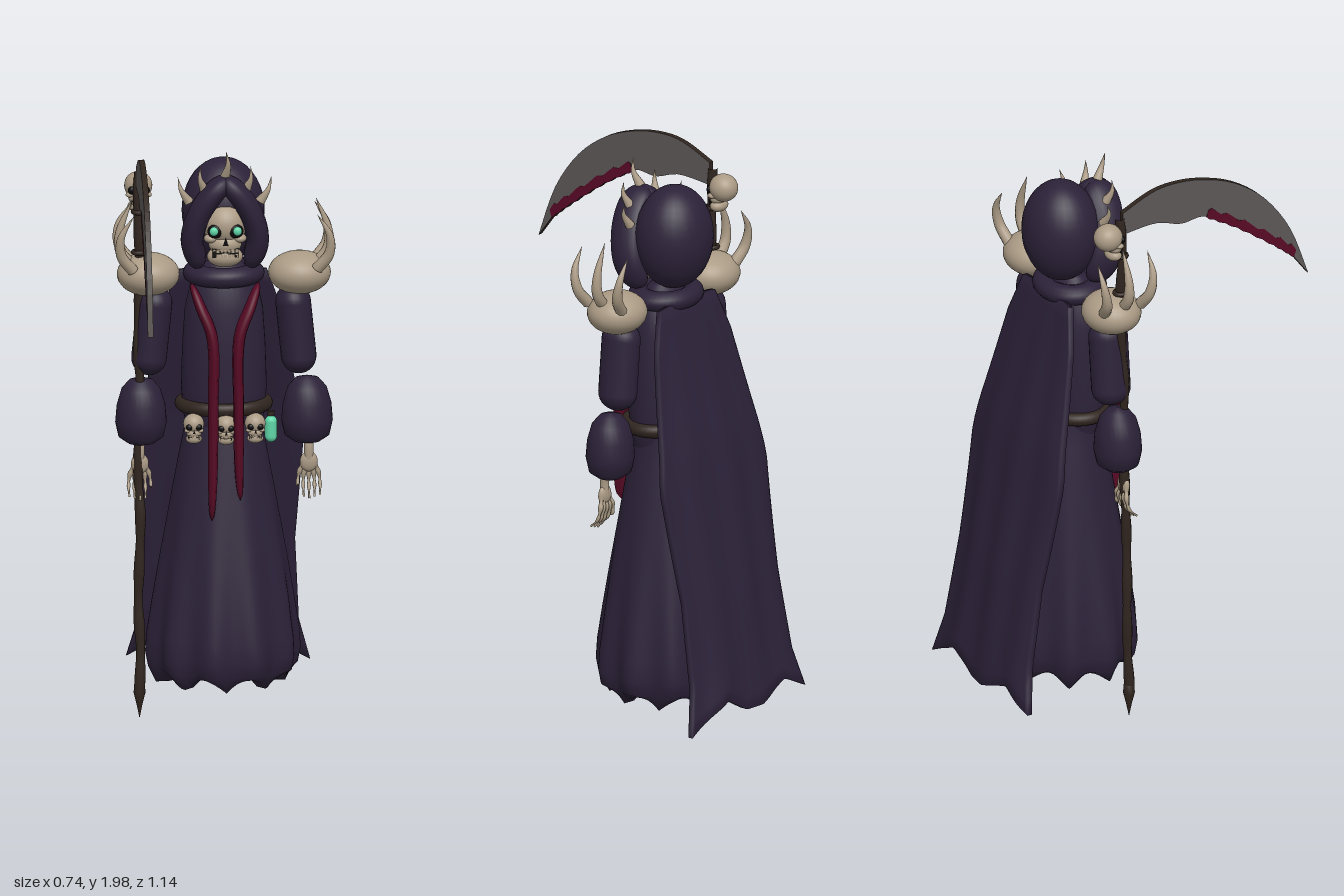
import * as THREE from 'three';
import { mergeVertices } from 'three/addons/utils/BufferGeometryUtils.js';

const mat = (name, color, side = THREE.FrontSide) => {
  const m = new THREE.MeshStandardMaterial({ color, side });
  m.name = name;
  return m;
};
const cloth = mat('purple cloth', 0x2c2239, THREE.DoubleSide);
const bone = mat('bone', 0xab9b85);
const wood = mat('dark wood', 0x30251f);
const steel = mat('blade steel', 0x5e5858);
const red = mat('crimson', 0x5a0a26);
const dark = mat('socket black', 0x0d0a0c);
const glow = mat('green glow', 0x5fd6a8);

const V = (p) => new THREE.Vector3(...p);
const add = (parent, name, geo, material, p = [0, 0, 0], s = [1, 1, 1]) => {
  const m = new THREE.Mesh(geo, material);
  m.name = name;
  m.position.set(...p);
  m.scale.set(...s);
  parent.add(m);
  return m;
};
const ball = (parent, name, material, p, s) =>
  add(parent, name, new THREE.SphereGeometry(1, 28, 20), material, p, s);

// weld seams and recompute smooth normals
const smooth = (g) => {
  g.deleteAttribute('uv');
  g.deleteAttribute('normal');
  const w = mergeVertices(g, 1e-5);
  w.computeVertexNormals();
  return w;
};
const moveVertices = (g, rule) => {
  const pos = g.attributes.position, v = new THREE.Vector3();
  for (let i = 0; i < pos.count; i++) {
    v.fromBufferAttribute(pos, i);
    rule(v, i);
    pos.setXYZ(i, v.x, v.y, v.z);
  }
  return smooth(g);
};
// tube along points whose radius follows rule(t), stretched per axis
const taper = (pts, rule, axes = [1, 1, 1], seg = 20, sides = 10) => {
  const curve = new THREE.CatmullRomCurve3(pts.map(V));
  const ax = V(axes);
  return moveVertices(new THREE.TubeGeometry(curve, seg, 1, sides), (v, i) => {
    const t = Math.floor(i / (sides + 1)) / seg;
    const c = curve.getPointAt(t);
    v.sub(c).multiply(ax).multiplyScalar(rule(t)).add(c);
  });
};
const spike = (r) => (t) => r * Math.max(0.01, 1 - t);
const round = (r) => (t) => r * Math.max(0.01, Math.pow(1 - Math.pow(Math.abs(2 * t - 1), 6), 0.5));
// piecewise linear value from [t, value] keys
const keyed = (keys, t) => {
  let i = 1;
  while (i < keys.length - 1 && t > keys[i][0]) i++;
  const [a, b] = [keys[i - 1], keys[i]];
  return THREE.MathUtils.mapLinear(t, a[0], b[0], a[1], b[1]);
};
const lathe = (pts, n = 40) => smooth(new THREE.LatheGeometry(pts.map((p) => new THREE.Vector2(...p)), n));

function skull(name, p, size, eyes) {
  const g = new THREE.Group();
  g.name = name;
  ball(g, 'cranium', bone, [0, 0.1, -0.05], [0.95, 0.95, 1]);
  ball(g, 'upperJaw', bone, [0, -0.68, 0.38], [0.68, 0.45, 0.52]);
  ball(g, 'lowerJaw', bone, [0, -1.22, 0.34], [0.74, 0.44, 0.54]);
  add(g, 'mouth', new THREE.BoxGeometry(1.06, 0.36, 0.3), dark, [0, -0.99, 0.64]);
  for (let i = -3; i <= 3; i++)
    for (const y of [-0.89, -1.09])
      add(g, 'tooth', new THREE.BoxGeometry(0.12, 0.14, 0.12), bone, [i * 0.155, y, 0.82 - i * i * 0.01]);
  for (const s of [-1, 1]) {
    ball(g, 'cheekbone', bone, [s * 0.6, -0.42, 0.48], [0.28, 0.19, 0.32]);
    ball(g, 'eyeSocket', dark, [s * 0.42, -0.06, 0.76], [0.32, 0.29, 0.22]);
    if (eyes) ball(g, 'glowingEye', glow, [s * 0.48, -0.03, 0.92], [0.18, 0.18, 0.12]);
  }
  const nose = add(g, 'noseHole', new THREE.ConeGeometry(0.13, 0.34, 3), dark, [0, -0.47, 0.88], [1, 1, 0.6]);
  nose.rotation.y = Math.PI;
  g.position.set(...p);
  g.scale.setScalar(size);
  return g;
}

function arm(s) {
  const g = new THREE.Group();
  g.name = s > 0 ? 'leftArm' : 'rightArm';
  const upper = add(g, 'upperSleeve', new THREE.CapsuleGeometry(0.06, 0.19, 8, 24), cloth, [s * 0.243, 1.345, -0.18], [1, 1, 1.15]);
  upper.rotation.z = s * 0.1;
  const bell = [[0.001, 0.955], [0.045, 0.958], [0.076, 0.98], [0.087, 1.03], [0.082, 1.09], [0.066, 1.145], [0.04, 1.175], [0.001, 1.185]];
  add(g, 'lowerSleeve', lathe(bell, 28), cloth, [s * 0.28, 0, -0.17], [1, 1, 0.93]);
  // shoulder guard with three curved horns
  ball(g, 'shoulderGuard', bone, [s * 0.255, 1.54, -0.18], [0.106, 0.073, 0.1]);
  for (const [k, top] of [[-1, 1.765], [0, 1.8], [1, 1.765]]) {
    const z = -0.17 + k * 0.07;
    add(g, 'shoulderHorn', taper([[s * 0.31, 1.57, z], [s * 0.35, 1.625, z + k * 0.014],
      [s * 0.352, 1.69, z + k * 0.026], [s * 0.31, top, z + k * 0.028]],
      (t) => 0.02 * Math.max(0.01, 1 - t ** 2)), bone);
  }
  // bony hand
  const x = s * 0.285, z = -0.15;
  add(g, 'wrist', taper([[x, 0.98, z - 0.01], [x, 0.94, z], [x, 0.9, z]], () => 0.016), bone);
  ball(g, 'palm', bone, [x, 0.89, z], [0.03, 0.035, 0.015]);
  for (let i = -2; i <= 2; i++) {
    const end = i * s === -2 ? 0.83 : 0.78 + Math.abs(i) * 0.006;
    add(g, 'finger', taper([[x + i * 0.009, 0.89, z], [x + i * 0.017, 0.845, z - 0.008],
      [x + i * 0.019, 0.81, z], [x + i * 0.018, end - 0.012, z + 0.03]],
      (t) => 0.0095 * (1 - 0.7 * t) * (1 + 0.25 * Math.cos(t * 19))), bone);
  }
  return g;
}

function scythe() {
  const g = new THREE.Group();
  g.name = 'scythe';
  const x = -0.287;
  const pole = [];
  for (let i = 0; i <= 12; i++) pole.push([x + 0.004 * Math.sin(i * 2.1), 0.1 + i * 0.15, -0.13 - 0.003 * i + 0.004 * Math.cos(i * 1.7)]);
  add(g, 'pole', taper(pole, (t) => 0.0165 + 0.002 * Math.sin(t * 60), [1, 1, 1], 80), wood);
  add(g, 'poleTip', lathe([[0.001, 0.015], [0.01, 0.06], [0.02, 0.1], [0.018, 0.13], [0.001, 0.14]], 12), wood, [x, 0, -0.13]);
  for (const y of [1.62, 1.76]) {
    const ring = add(g, 'poleRing', new THREE.TorusGeometry(0.02, 0.008, 8, 20), wood, [x, y, -0.163]);
    ring.rotation.x = Math.PI / 2;
  }
  g.add(skull('poleSkull', [x, 1.835, -0.21], 0.05, false));
  // blade outline in z and y, with dark rims
  const outer = [[-0.16, 1.92], [-0.05, 1.968], [0.04, 1.98], [0.15, 1.967], [0.28, 1.92], [0.4, 1.83], [0.5, 1.69], [0.57, 1.505]];
  const inner = [[0.51, 1.585], [0.43, 1.65], [0.285, 1.755], [0.165, 1.825], [0.07, 1.822], [-0.03, 1.85], [-0.16, 1.84]];
  const plate = (name, pts, depth, material) => {
    const geo = new THREE.ExtrudeGeometry(new THREE.Shape(pts.map((p) => new THREE.Vector2(...p))), { depth, bevelEnabled: false });
    geo.translate(0, 0, -depth / 2).rotateY(-Math.PI / 2);
    add(g, name, geo, [material, wood], [x, 0, 0]);
  };
  const curved = (pts, n) => new THREE.SplineCurve(pts.map((p) => new THREE.Vector2(...p))).getPoints(n).map((p) => [p.x, p.y]);
  plate('blade', [...curved(outer, 28), ...curved(inner, 28)], 0.019, steel);
  const edge = curved(inner.slice(0, 4), 18);
  plate('bloodiedEdge', [...edge.map(([a, b], i) => [a + 0.004, b - 0.004 - 0.005 * (i % 2)]),
    ...edge.map(([a, b], i) => [a + 0.012, b + 0.02 + 0.006 * (i % 3)]).reverse()], 0.022, red);
  return g;
}

export function createModel() {
  const model = new THREE.Group();
  model.name = 'hoodedReaper';

  // puffed skirt, pleated, with ragged pointed hem
  const profile = [[0.001, 0.175], [0.1, 0.17], [0.17, 0.15], [0.215, 0.15], [0.236, 0.18], [0.245, 0.23], [0.242, 0.3], [0.227, 0.42],
    [0.208, 0.55], [0.183, 0.7], [0.157, 0.85], [0.133, 0.98], [0.12, 1.04], [0.115, 1.1]];
  const skirt = moveVertices(new THREE.LatheGeometry(profile.map((p) => new THREE.Vector2(...p)), 120), (v) => {
    const a = Math.atan2(v.x, v.z) + 0.21, low = THREE.MathUtils.clamp((1 - v.y) / 0.75, 0, 1);
    const f = 1 + 0.05 * low * low * Math.cos(10 * a) + 0.012 * low * Math.sin(3 * a);
    if (v.y < 0.16) v.y -= 0.022 * (1 - 2 * Math.abs(Math.sin(4.5 * (a - 0.21)))) + 0.004;
    v.x *= f * 1.03;
    v.z *= f * 0.96;
  });
  add(model, 'skirt', skirt, cloth, [0, 0, -0.205]);

  const torso = [[0.12, 1.0], [0.138, 1.06], [0.145, 1.15], [0.14, 1.3], [0.132, 1.42], [0.11, 1.52], [0.06, 1.58], [0.001, 1.59]];
  add(model, 'torso', lathe(torso), cloth, [0, 0, -0.185], [1, 1, 0.75]);
  const collar = add(model, 'collar', new THREE.TorusGeometry(0.09, 0.038, 14, 40), cloth, [0, 1.54, -0.19], [1.08, 0.95, 0.9]);
  collar.rotation.x = Math.PI / 2;
  const belt = add(model, 'belt', new THREE.TorusGeometry(0.145, 0.021, 10, 48), wood, [0, 1.09, -0.185], [1, 0.82, 1.1]);
  belt.rotation.x = Math.PI / 2;
  for (const x of [-0.107, 0, 0.1]) model.add(skull('beltSkull', [x, 1.038, -0.06 - x * x * 2], 0.037, false));
  add(model, 'vial', new THREE.CapsuleGeometry(0.021, 0.05, 6, 18), glow, [0.155, 1.015, -0.11]);
  add(model, 'vialCap', new THREE.CylinderGeometry(0.012, 0.012, 0.02, 14), wood, [0.155, 1.066, -0.115]);

  // long crimson stole
  for (const [s, end] of [[-1, 0.715], [1, 0.785]])
    add(model, 'stole', taper([[s * 0.115, 1.525, -0.11], [s * 0.085, 1.45, -0.075], [s * 0.047, 1.35, -0.055],
      [s * 0.043, 1.1, -0.05], [s * 0.044, 0.9, -0.045], [s * 0.048, end, -0.035]],
      (t) => round(1)(t) * (1 - 0.25 * t), [0.021, 0.021, 0.058], 50, 12), red);

  // hood, cowl folds and face
  ball(model, 'hood', cloth, [0, 1.75, -0.225], [0.14, 0.18, 0.13]);
  for (const s of [-1, 1])
    add(model, 'cowlFold', taper([[-s * 0.015, 1.895, -0.085], [s * 0.045, 1.835, -0.085], [s * 0.09, 1.76, -0.095],
      [s * 0.11, 1.67, -0.115], [s * 0.085, 1.57, -0.14]], round(1), [0.039, 0.039, 0.062], 36, 16), cloth);
  model.add(skull('skullFace', [0, 1.715, -0.138], 0.082, true));

  // crown of spikes
  const crown = [[0, 1.9, -0.08, 0, 1.995, -0.05], [0.07, 1.85, -0.09, 0.085, 1.935, -0.075], [0.12, 1.8, -0.13, 0.158, 1.885, -0.135]];
  for (const [ax, ay, az, bx, by, bz] of crown)
    for (const s of ax ? [-1, 1] : [1])
      add(model, 'crownSpike', taper([[s * ax, ay, az], [s * (ax + bx) / 2 + s * 0.008, (ay + by) / 2, (az + bz) / 2 + 0.008], [s * bx, by, bz]], spike(0.017)), bone);

  // trailing cape with soft folds and pointed lower corners
  const half = [[0, 0.15], [0.1, 0.2], [0.42, 0.282], [0.7, 0.255], [0.9, 0.27], [1, 0.31]];
  const back = [[0, -0.275], [0.35, -0.405], [0.7, -0.495], [1, -0.555]];
  const torn = [[0, 0], [0.2, 0.06], [0.42, 0.01], [0.55, 0.01], [0.72, 0.07], [0.85, 0.03], [1, -0.02]];
  const cape = moveVertices(new THREE.BoxGeometry(1, 1, 1, 48, 30, 1), (v) => {
    const u = v.x, t = 0.5 - v.y, side = v.z;
    const fold = 0.005 * Math.sin(u * 19) * Math.min(1, t * 2);
    v.x = u * 2 * keyed(half, t);
    v.y = 1.54 - 1.41 * t - 0.04 * u * u * (1 - t) + keyed(torn, u + 0.5) * Math.max(0, t - 0.75) * 4;
    v.z = keyed(back, t) + fold + 0.1 * u * u * (Math.sin(t * Math.PI) + 0.8 * t) + side * 0.018;
  });
  add(model, 'cape', cape, cloth);

  model.add(arm(1), arm(-1), scythe());
  return model;
}
